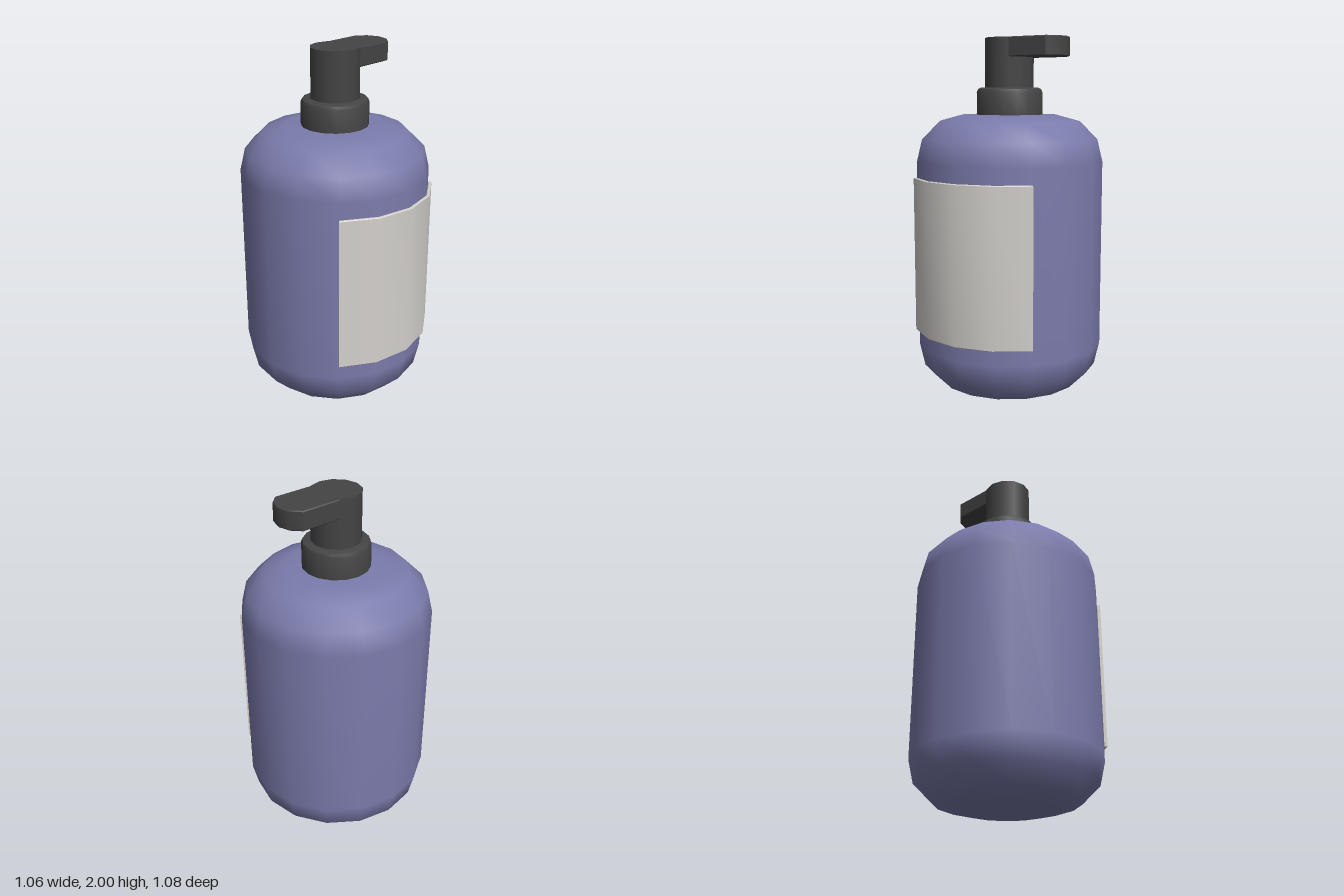
import * as THREE from 'three';
import { toCreasedNormals } from 'three/addons/utils/BufferGeometryUtils.js';

const AXIS_Z = -0.01; // depth of the bottle's axis

const material = (name, color) => {
  const m = new THREE.MeshStandardMaterial({ color });
  m.name = name;
  return m;
};

const lathe = (profile, sides) =>
  new THREE.LatheGeometry(profile.map(([r, y]) => new THREE.Vector2(r, y)), sides);

// Extrudes a plan outline, given as [x, z], upwards from y0 to y1 with a fine bevel
function slab(outline, y0, y1, bevel) {
  const shape = new THREE.Shape(outline.map(([x, z]) => new THREE.Vector2(x, -z)));
  const geometry = new THREE.ExtrudeGeometry(shape, {
    depth: y1 - y0 - 2 * bevel,
    bevelThickness: bevel, bevelSize: bevel, bevelOffset: -bevel, bevelSegments: 1,
  });
  geometry.rotateX(-Math.PI / 2).translate(0, y0 + bevel, 0);
  return toCreasedNormals(geometry, 0.6);
}

export function createModel() {
  const bottleBlue = material('bottle blue', 0x7b7bac);
  const pumpBlack = material('pump black', 0x444444);
  const labelWhite = material('label white', 0xd3d0cc);

  const model = new THREE.Group();
  model.name = 'soapDispenser';
  const add = (name, geometry, mat) => {
    const mesh = new THREE.Mesh(geometry, mat);
    mesh.name = name;
    mesh.position.z = AXIS_Z;
    model.add(mesh);
  };

  // Bottle with rounded shoulders and foot
  add('bottle', lathe([
    [0, 0], [0.27, 0], [0.4, 0.035], [0.5, 0.135], [0.53, 0.265],
    [0.53, 1.315], [0.5, 1.44], [0.4, 1.54], [0.27, 1.575], [0, 1.575],
  ], 16), bottleBlue);

  // Collar with a chamfered rim
  add('collar', toCreasedNormals(lathe([
    [0, 1.565], [0.188, 1.565], [0.188, 1.7], [0.18, 1.718], [0.165, 1.725], [0, 1.725],
  ], 16), 0.6), pumpBlack);

  // Pump stem
  const stem = new THREE.CylinderGeometry(0.137, 0.137, 0.29, 12);
  stem.translate(0, 1.855, 0);
  add('pumpStem', stem, pumpBlack);

  // Spout: straight sides with a rounded tip, pointing to +x
  const spout = [[0, 0.118]];
  for (let i = 2; i >= -2; i--) {
    const a = (i * Math.PI) / 6;
    spout.push([0.23 + 0.136 * Math.cos(a), 0.136 * Math.sin(a)]);
  }
  spout.push([0, -0.118]);
  add('spout', slab(spout, 1.893, 2, 0.005), pumpBlack);

  // Label wrapped over the front quarter, following the bottle's facets
  const label = [];
  const arc = (radius, direction) => {
    for (let i = -2; i <= 2; i++) {
      const a = (direction * i * Math.PI) / 8;
      label.push([radius * Math.sin(a), radius * Math.cos(a)]);
    }
  };
  arc(0.55, 1);
  arc(0.532, -1);
  add('label', slab(label, 0.35, 1.227, 0.004), labelWhite);

  return model;
}
